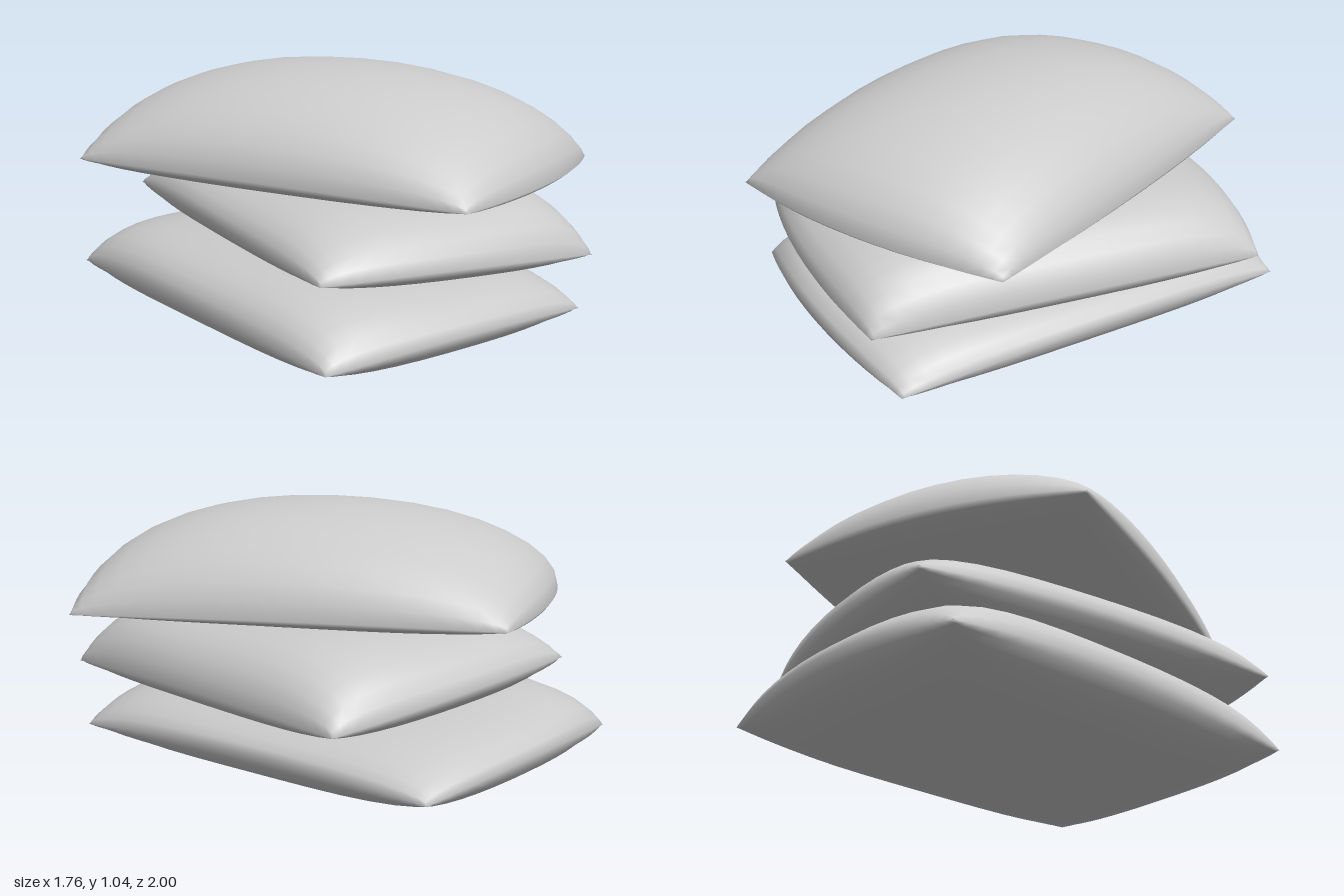
import * as THREE from 'three';
import { mergeVertices } from 'three/addons/utils/BufferGeometryUtils.js';

const SEG = 18;

// Corners run back left, back right, front right, front left as seen from above: [x, seam height, z].
const pillows = [
  {
    name: 'bottomPillow',
    corners: [[-0.67, 0.13, -0.90], [0.59, 0.13, -0.93], [0.60, 0.10, 0.78], [-0.65, 0.12, 0.77]],
    sideBulge: 0.035, endBulge: 0.08, seamRise: 0.05,
    top: x => 0.32 - 0.06 * x, topPower: 4,
    bottom: () => 0.005, bottomPower: 4,
  },
  {
    name: 'middlePillow',
    corners: [[-0.41, 0.45, -0.85], [0.78, 0.36, -0.68], [0.56, 0.35, 0.87], [-0.65, 0.43, 0.74]],
    sideBulge: 0.035, endBulge: 0.08, seamRise: 0.03,
    top: () => 0.635, topPower: 4,
    bottom: x => 0.31 - 0.06 * x, bottomPower: 4,
  },
  {
    name: 'topPillow',
    corners: [[-0.88, 0.68, -0.50], [0.22, 0.67, -1.0], [0.88, 0.635, 0.53], [-0.23, 0.67, 1.0]],
    sideBulge: 0.04, endBulge: 0.09, seamRise: 0.015,
    top: () => 1.045, topPower: 2.1,
    bottom: () => 0.61, bottomPower: 4,
  },
];

// Two puffed sheets joined along a shared seam
function pillowGeometry(p) {
  const [bl, br, fr, fl] = p.corners.map(c => new THREE.Vector3(...c));
  const mid = (a, b) => a.clone().add(b).multiplyScalar(0.5);
  const across = mid(br, fr).sub(mid(bl, fl)).setY(0).normalize();
  const along = mid(fl, fr).sub(mid(bl, br)).setY(0).normalize();
  const positions = [], indices = [];
  const row = SEG + 1;

  for (const side of [1, -1]) {
    const base = positions.length / 3;
    const power = side > 0 ? p.topPower : p.bottomPower;
    for (let j = 0; j <= SEG; j++) {
      for (let i = 0; i <= SEG; i++) {
        // Sine spacing gathers the rows near the seam
        const u = Math.sin((i / SEG - 0.5) * Math.PI);
        const v = Math.sin((j / SEG - 0.5) * Math.PI);
        const back = bl.clone().lerp(br, (u + 1) / 2);
        const front = fl.clone().lerp(fr, (u + 1) / 2);
        const point = back.lerp(front, (v + 1) / 2);
        // Edges bow outward between the pointed corners
        point.addScaledVector(across, p.sideBulge * u * (1 - v * v));
        point.addScaledVector(along, p.endBulge * v * (1 - u * u));
        point.y += p.seamRise * (1 - u * u * v * v);
        const puff = Math.sqrt(Math.max(0,
          (1 - Math.abs(u) ** power) * (1 - Math.abs(v) ** power)));
        const target = side > 0 ? p.top(point.x) : p.bottom(point.x);
        point.y += (target - point.y) * puff;
        positions.push(point.x, point.y, point.z);
      }
    }
    for (let j = 0; j < SEG; j++) {
      for (let i = 0; i < SEG; i++) {
        const a = base + j * row + i, b = a + 1, c = a + row, d = c + 1;
        if (side > 0) indices.push(a, c, b, b, c, d);
        else indices.push(a, b, c, b, d, c);
      }
    }
  }
  const geometry = new THREE.BufferGeometry();
  geometry.setAttribute('position', new THREE.Float32BufferAttribute(positions, 3));
  geometry.setIndex(indices);
  const welded = mergeVertices(geometry, 1e-4);
  welded.computeVertexNormals();
  return welded;
}

export function createModel() {
  const group = new THREE.Group();
  group.name = 'pillowStack';
  const material = new THREE.MeshStandardMaterial({ color: 0xcccccc });
  for (const p of pillows) {
    const mesh = new THREE.Mesh(pillowGeometry(p), material);
    mesh.name = p.name;
    group.add(mesh);
  }
  return group;
}
